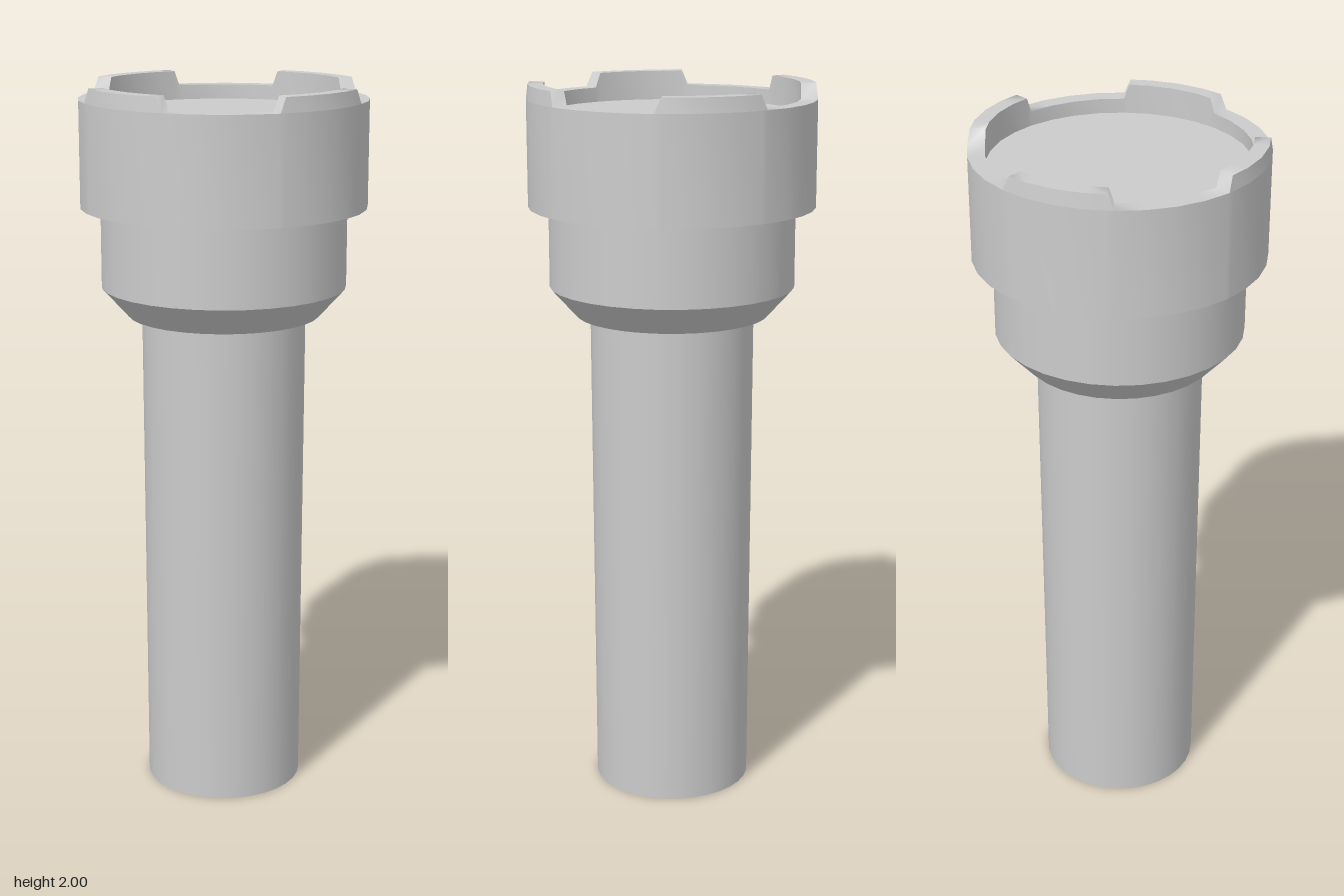
import * as THREE from 'three';
import { mergeGeometries } from 'three/addons/utils/BufferGeometryUtils.js';

const SIDES = 32;
const STEP = (Math.PI * 2) / SIDES;
const DEG = Math.PI / 180;
const RIM_Y = 1.96, TOOTH_Y = 2, LENS_Y = 1.92, HEAD_Y = 1.67;
const HEAD_R = 0.392, LENS_R = 0.346;

const material = new THREE.MeshStandardMaterial({ color: 0xcccccc });

// Turned part: each profile segment is its own lathe, so edges between them stay sharp.
function turned(name, profile) {
  const bands = [];
  for (let i = 0; i < profile.length - 1; i++) {
    const points = [profile[i], profile[i + 1]].map(([r, y]) => new THREE.Vector2(r, y));
    bands.push(new THREE.LatheGeometry(points, SIDES, STEP / 2));
  }
  const mesh = new THREE.Mesh(mergeGeometries(bands), material);
  mesh.name = name;
  return mesh;
}

// Angles and heights around the crown: four teeth with short sloped ends.
function crownStations() {
  const stations = [];
  for (let k = 0; k < SIDES; k++) {
    const angle = (k + 0.5) * STEP;
    const q = k % 8;
    const inside = q > 1 && q < 5;
    if (q === 5) stations.push({ angle: angle - 2.5 * DEG, y: TOOTH_Y });
    stations.push({ angle, y: inside ? TOOTH_Y : RIM_Y });
    if (q === 1) stations.push({ angle: angle + 2.5 * DEG, y: TOOTH_Y });
  }
  return stations;
}

// Closed band of cross-sections; section(station) returns [radius, y] pairs.
function band(stations, section) {
  const positions = [], index = [];
  const rows = section(stations[0]).length;
  for (const s of stations) {
    // keep extra stations on the straight facet between corners
    const offset = s.angle - Math.round(s.angle / STEP) * STEP;
    const facet = Math.cos(STEP / 2) / Math.cos(offset);
    for (const [r, y] of section(s)) {
      positions.push(r * facet * Math.sin(s.angle), y, r * facet * Math.cos(s.angle));
    }
  }
  for (let i = 0; i < stations.length; i++) {
    const a = i * rows, b = ((i + 1) % stations.length) * rows;
    for (let j = 0; j < rows - 1; j++) {
      index.push(a + j, b + j, a + j + 1, b + j + 1, a + j + 1, b + j);
    }
  }
  const geometry = new THREE.BufferGeometry();
  geometry.setAttribute('position', new THREE.Float32BufferAttribute(positions, 3));
  geometry.setIndex(index);
  geometry.computeVertexNormals();
  return geometry;
}

function crownedHead() {
  const stations = crownStations();
  const outerTop = (y) => HEAD_R - (y > RIM_Y ? 0.005 : 0);
  const geometry = mergeGeometries([
    band(stations, () => [[HEAD_R, HEAD_Y], [HEAD_R, RIM_Y]]), // outer wall
    band(stations, ({ y }) => [[HEAD_R, RIM_Y], [outerTop(y), y]]), // tooth faces
    band(stations, ({ y }) => [[outerTop(y), y], [LENS_R, y]]), // top edge
    band(stations, ({ y }) => [[LENS_R, y], [LENS_R, LENS_Y]]), // inner wall
  ]);
  const mesh = new THREE.Mesh(geometry, material);
  mesh.name = 'crownedHead';
  return mesh;
}

export function createModel() {
  const model = new THREE.Group();
  model.name = 'flashlight';
  model.add(
    // slightly tapered grip with a flat tail
    turned('handle', [[0, 0], [0.22, 0], [0.226, 1.37]]),
    // bevelled collar between grip and head
    turned('collar', [[0.226, 1.37], [0.265, 1.37], [0.337, 1.45], [0.337, HEAD_Y]]),
    turned('headShoulder', [[0.337, HEAD_Y], [HEAD_R, HEAD_Y]]),
    crownedHead(),
    turned('lens', [[LENS_R, LENS_Y], [0, LENS_Y]]),
  );
  return model;
}
